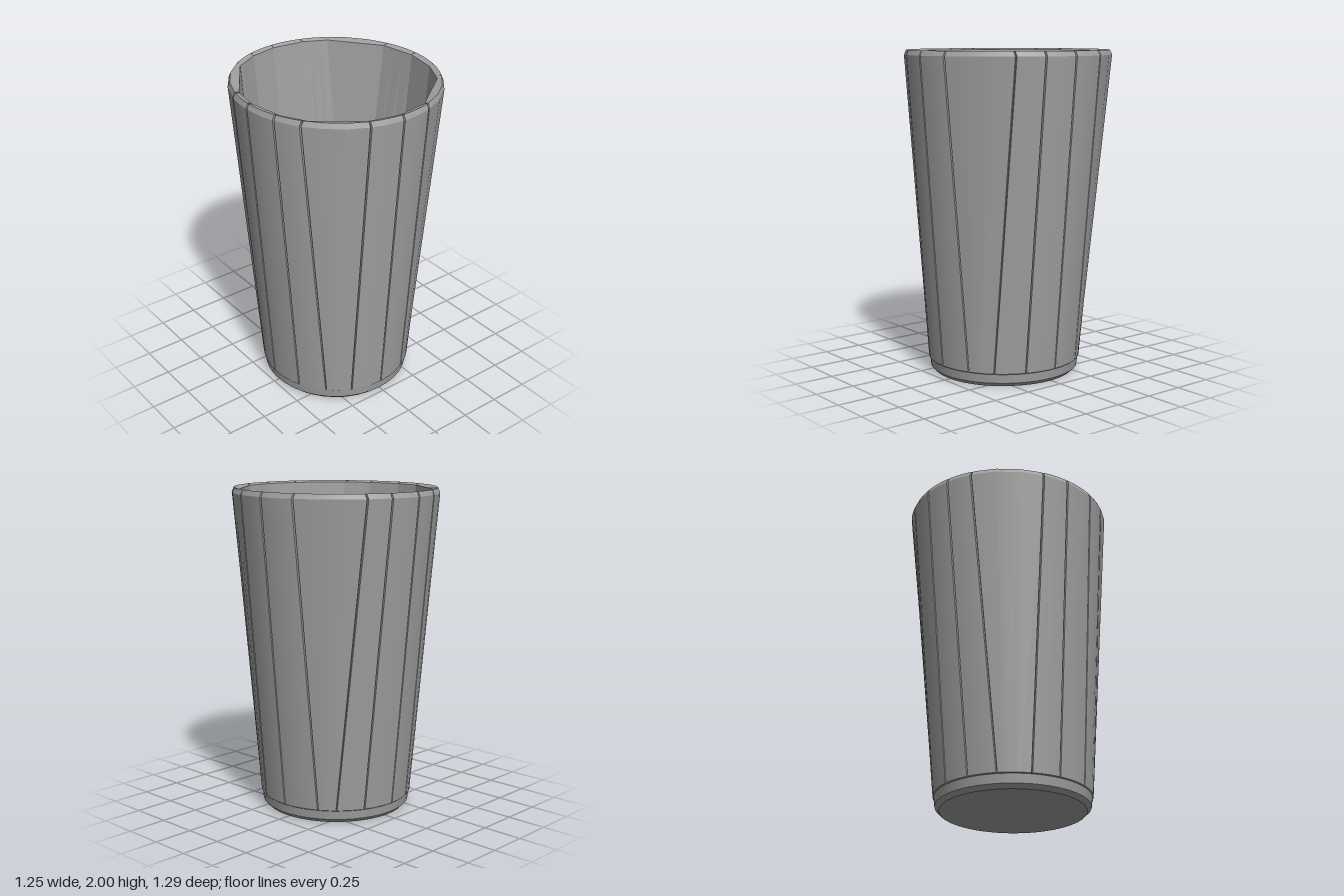
import * as THREE from 'three';
import { toCreasedNormals } from 'three/addons/utils/BufferGeometryUtils.js';

// Seam planes in order around the cup: [axis, offset, side of the other axis]
const SEAMS = [
  ['z', -0.22, 1], ['z', 0, 1], ['z', 0.2, 1], ['z', 0.36, 1],
  ['x', 0.18, 1], ['x', -0.02, 1], ['x', -0.22, 1],
  ['z', 0.36, -1], ['z', 0.21, -1], ['z', 0, -1], ['z', -0.17, -1],
  ['x', -0.34, -1], ['x', -0.19, -1], ['x', -0.02, -1], ['x', 0.18, -1], ['x', 0.32, -1],
];
const STEPS = 3; // divisions of each panel

// One horizontal cross-section; gap and depth cut a narrow groove at each seam
function ring({ y, cx = 0, cz = 0, rx, rz, gap = 0, depth = 0, chord = false }) {
  const at = (t, inset = 0) => new THREE.Vector3(
    cx + (rx - inset) * Math.cos(t), y, cz + (rz - inset) * Math.sin(t));
  const angles = SEAMS.map(([axis, v, side]) => {
    if (axis === 'z') {
      const t = Math.asin((v - cz) / rz);
      return side > 0 ? t : Math.PI - t;
    }
    const t = Math.acos((v - cx) / rx);
    return side > 0 ? t : 2 * Math.PI - t;
  });
  const points = [];
  angles.forEach((t, i) => {
    const next = i + 1 < angles.length ? angles[i + 1] : angles[0] + 2 * Math.PI;
    points.push(at(t, depth));
    for (let k = 0; k <= STEPS; k++) {
      const f = k / STEPS;
      points.push(chord ? at(t).lerp(at(next), f)
        : at(THREE.MathUtils.lerp(t + gap, next - gap, f)));
    }
  });
  return points;
}

// Skins a stack of rings, with optional caps on the first and last ring
function loft(rings, capStart, capEnd) {
  const positions = [];
  const triangle = new THREE.Triangle();
  const add = (a, b, c) => {
    triangle.set(a, b, c);
    if (triangle.getArea() < 1e-8) return;
    for (const p of [a, b, c]) positions.push(p.x, p.y, p.z);
  };
  const n = rings[0].length;
  for (let r = 0; r + 1 < rings.length; r++) {
    for (let i = 0; i < n; i++) {
      const j = (i + 1) % n;
      add(rings[r][i], rings[r + 1][i], rings[r][j]);
      add(rings[r][j], rings[r + 1][i], rings[r + 1][j]);
    }
  }
  const centre = (loop) => loop.reduce((s, p) => s.add(p), new THREE.Vector3()).divideScalar(n);
  const first = rings[0], last = rings[rings.length - 1];
  for (let i = 0; i < n; i++) {
    const j = (i + 1) % n;
    if (capStart) add(centre(first), first[i], first[j]);
    if (capEnd) add(centre(last), last[j], last[i]);
  }
  const geometry = new THREE.BufferGeometry();
  geometry.setAttribute('position', new THREE.Float32BufferAttribute(positions, 3));
  return geometry;
}

export function createModel() {
  const group = new THREE.Group();
  group.name = 'cup';
  const grey = new THREE.MeshStandardMaterial({ color: 0xa0a0a0 });
  grey.name = 'grey';

  const foot = { cx: -0.02, cz: 0.02 };
  const groove = { gap: 0.008, depth: 0.012 };
  const wallBottom = ring({ y: 0.085, ...foot, rx: 0.472, rz: 0.478, ...groove });
  const wallTop = ring({ y: 1.97, rx: 0.623, rz: 0.643, ...groove });
  const rimOuter = ring({ y: 2, rx: 0.61, rz: 0.63, ...groove });
  const rimInner = ring({ y: 1.99, rx: 0.582, rz: 0.605, chord: true });
  const floorEdge = ring({ y: 0.09, ...foot, rx: 0.42, rz: 0.43, chord: true });

  const addPart = (name, geometry, crease) => {
    const mesh = new THREE.Mesh(toCreasedNormals(geometry, crease), grey);
    mesh.name = name;
    group.add(mesh);
  };

  // Bevelled foot with a flat underside
  addPart('foot', loft([
    ring({ y: 0, ...foot, rx: 0.435, rz: 0.44 }),
    ring({ y: 0.025, ...foot, rx: 0.46, rz: 0.465 }),
    ring({ y: 0.08, ...foot, rx: 0.466, rz: 0.472 }),
    wallBottom,
  ], true, false), 0.3);
  // Tapered outer wall of staves divided by grooves
  addPart('outerWall', loft([wallBottom, wallTop]), 0.5);
  // Narrow bevelled rim
  addPart('rim', loft([wallTop, rimOuter, rimInner]), 0.3);
  // Flat-sided interior and its floor
  addPart('interior', loft([rimInner, floorEdge], false, true), 0.1);
  return group;
}
